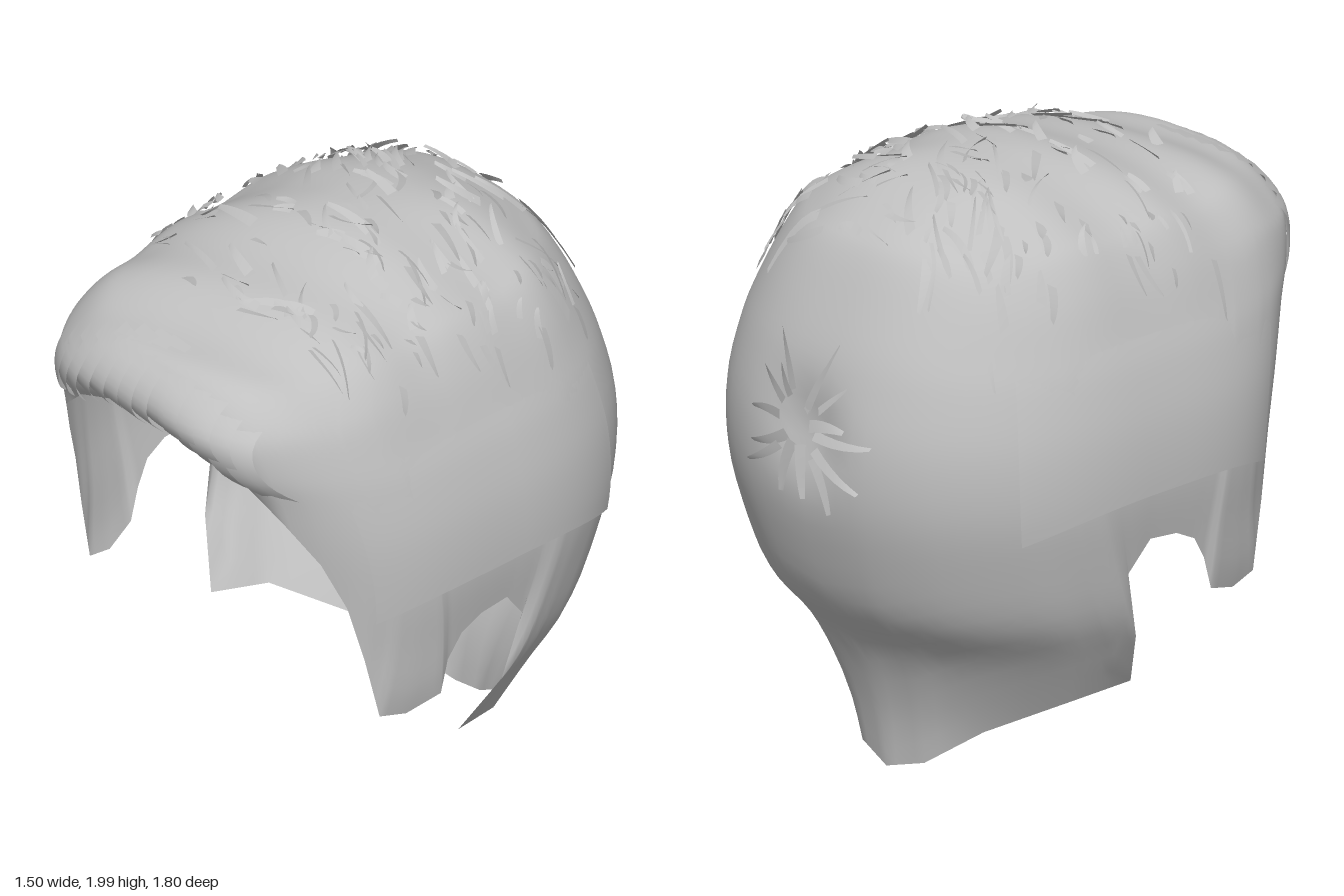
import * as THREE from 'three';
import { mergeVertices, mergeGeometries } from 'three/addons/utils/BufferGeometryUtils.js';

const { sin, cos, abs, sign, exp, min, max, PI } = Math;
const MID = -0.05; // z centre of the cross-sections

// Cross-sections from crown to nape: height, half width, front z, back z
const SECTIONS = [
  [1.95, 0, -0.05, -0.05], [1.942, 0.12, 0.06, -0.2], [1.905, 0.26, 0.22, -0.4],
  [1.85, 0.37, 0.45, -0.53], [1.79, 0.46, 0.7, -0.61], [1.735, 0.525, 0.83, -0.66],
  [1.63, 0.59, 0.885, -0.72], [1.5, 0.645, 0.86, -0.78], [1.38, 0.69, 0.8, -0.82],
  [1.2, 0.73, 0.74, -0.86], [1.0, 0.74, 0.7, -0.86], [0.8, 0.72, 0.7, -0.815],
  [0.6, 0.69, 0.75, -0.74], [0.43, 0.63, 0.78, -0.605], [0.2, 0.54, 0.8, -0.525], [0, 0.5, 0.8, -0.5],
];
// Hem of the left half, front to nape: x, y, z and the angle its strand leaves the crown
const HEM = [
  [0, 1.53, 0.8, 0], [0.2, 1.51, 0.79, 15], [0.36, 1.44, 0.76, 27], [0.48, 1.33, 0.71, 38],
  [0.56, 1.17, 0.62, 46], [0.605, 1.0, 0.55, 53], [0.63, 0.8, 0.5, 58], [0.645, 0.58, 0.45, 63],
  [0.66, 0.555, 0.35, 67], [0.69, 0.59, 0.23, 71], [0.69, 0.7, 0.2, 74], [0.7, 0.78, 0.15, 77],
  [0.705, 0.82, 0.07, 82], [0.705, 0.83, -0.04, 91], [0.69, 0.73, -0.12, 102], [0.66, 0.5, -0.06, 112],
  [0.55, 0.3, 0.02, 120], [0.5, 0.27, -0.18, 132], [0.3, 0.16, -0.37, 147], [0.14, 0.04, -0.47, 163],
  [0, 0, -0.5, 180],
];

let seed = 7;
const rnd = (a = 0, b = 1) => {
  seed = (seed * 16807) % 2147483647;
  return a + (b - a) * seed / 2147483647;
};
const clamp01 = (v) => max(0, min(1, v));

// Roundness: the front is boxy at the forehead and round at the crown
const power = (y, isFront) => (isFront ? 2.2 + 1.2 * clamp01((1.88 - y) / 0.25) : 2.5);

// Smoothly interpolated cross-section at s = 0 (crown) .. 15 (nape)
function section(s) {
  const last = SECTIONS.length - 1, i = min(Math.floor(s), last - 1), u = s - i;
  const at = (k) => SECTIONS[max(0, min(last, k))];
  return [0, 1, 2, 3].map((c) => {
    const [p, q, r, t] = [at(i - 1)[c], at(i)[c], at(i + 1)[c], at(i + 2)[c]];
    return q + 0.5 * u * (r - p + u * (2 * p - 5 * q + 4 * r - t + u * (3 * (q - r) + t - p)));
  });
}

function bisect(isAbove, hi = SECTIONS.length - 1) {
  let lo = 0;
  for (let k = 0; k < 30; k++) {
    const m = (lo + hi) / 2;
    if (isAbove(m)) lo = m; else hi = m;
  }
  return (lo + hi) / 2;
}
const levelOf = (y) => bisect((s) => section(s)[0] > y);
const depth = (z, f, b) => (z - MID) / (z > MID ? f - MID : MID - b);

// Point of the head of hair at an angle from the front
function skin(angle, s) {
  const [y, w, f, b] = section(s), c = cos(angle), e = 2 / power(y, c > 0);
  const x = w * sign(sin(angle)) * abs(sin(angle)) ** e;
  const z = MID + (c > 0 ? f - MID : MID - b) * sign(c) * abs(c) ** e;
  const p = new THREE.Vector3(x, y, z);
  // soft locks on top and a dimple at the back whorl
  p.y += 0.012 * clamp01((y - 1.5) / 0.2) * min(1, s / 4) * sin(z * 17 + x * 4);
  if (z < 0) p.z += 0.055 * exp(-(x * x + (y - 1.2) ** 2) / 0.016);
  return p;
}

// Surface mesh from a rule over a grid, columns running left to right and rows down
function grid(cols, rows, rule) {
  const pos = [], index = [];
  for (let i = 0; i <= cols; i++) for (let j = 0; j <= rows; j++) {
    pos.push(...rule(i / cols, j / rows).toArray());
    if (i < cols && j < rows) {
      const a = i * (rows + 1) + j, d = a + rows + 1;
      index.push(a, a + 1, d + 1, a, d + 1, d);
    }
  }
  let g = new THREE.BufferGeometry();
  g.setAttribute('position', new THREE.Float32BufferAttribute(pos, 3));
  g.setIndex(index);
  g = mergeVertices(g, 1e-4);
  g.computeVertexNormals();
  return g;
}

// One strand line from the crown to a place on the hem, h = 0 (front) .. 1 (nape)
function strandLine(h, mirror) {
  const k = h * (HEM.length - 1), i = min(Math.floor(k), HEM.length - 2);
  const [x, y, z, deg] = HEM[i].map((v, c) => v + (HEM[i + 1][c] - v) * (k - i));
  const s = levelOf(y), [, w, f, b] = section(s), d = depth(z, f, b), n = power(y, z > MID) / 2;
  const end = mirror * Math.atan2(min(1, x / w) ** n, sign(d) * min(1, abs(d)) ** n);
  const start = mirror * deg * PI / 180;
  const miss = new THREE.Vector3(mirror * x, y, z).sub(skin(end, s));
  return (t) => skin(start + (end - start) * t ** 3, s * t).addScaledVector(miss, t ** 6);
}

function hairCap() {
  const half = 80, lines = [];
  for (let i = -half; i <= half; i++) lines.push(strandLine(abs(i) / half, i < 0 ? -1 : 1));
  return grid(half * 2, 44, (u, v) => lines[Math.round(u * half * 2)](v));
}

// Surface lookups: from above, from behind and from the front
function above(x, z) {
  const s = bisect((m) => {
    const [y, w, f, b] = section(m), n = power(y, z > MID);
    return abs(x / max(w, 1e-6)) ** n + abs(depth(z, f, b)) ** n > 1;
  }, 11);
  return new THREE.Vector3(x, section(s)[0], z);
}
function facing(x, y, side) {
  const [, w, f, b] = section(levelOf(y)), n = power(y, side > 0);
  const r = max(0, 1 - abs(x / w) ** n) ** (1 / n);
  return new THREE.Vector3(x, y, MID + r * (side > 0 ? f - MID : b - MID));
}

// Thin tapering lock laid over a surface, bending and lifting towards its tip
function lock(place, up, a, b, angle, length, width, lift, bend) {
  return grid(1, 5, (u, v) => {
    const t = angle + bend * v, w = (u - 0.5) * width * (1 - 0.7 * v * v);
    const p = place(a + cos(t) * length * v - sin(t) * w, b + sin(t) * length * v + cos(t) * w);
    return p.addScaledVector(up, 0.006 + lift * v + 0.01 * u);
  });
}

function crownLocks() {
  const up = new THREE.Vector3(0, 1, 0), list = [];
  for (let i = 0; i < 190; i++) {
    const x = rnd(-0.59, 0.59), z = rnd(-0.66, 0.54) * (1 - 0.7 * x * x);
    const angle = (x < 0 && z < 0 ? 0.6 : z < -0.4 ? -0.5 : 0.1) + rnd(-0.35, 0.35) + (rnd() < 0.5 ? PI : 0);
    const room = abs(x) > 0.4 ? 0.5 : 1;
    list.push(lock(above, up, x, z, angle, rnd(0.06, 0.18) * room, rnd(0.012, 0.036), rnd(0, 0.028), rnd(-0.5, 0.5)));
  }
  return mergeGeometries(list);
}

function whorlLocks() {
  const back = new THREE.Vector3(0, 0, -1), list = [];
  for (let i = 0; i < 15; i++) {
    const t = i / 15 * 2 * PI + rnd(-0.25, 0.25), r = rnd(0.04, 0.12);
    list.push(lock((x, y) => facing(x, y, -1), back, r * cos(t), 1.22 + r * sin(t), t,
      rnd(0.1, 0.24), rnd(0.025, 0.04), rnd(-0.01, 0.025), rnd(-0.3, 0.3)));
  }
  return mergeGeometries(list);
}

// Rolled fringe of overlapping strips arching above the forehead
function fringeLocks() {
  const list = [], count = 14;
  for (let i = 0; i < count; i++) {
    const x0 = (i / (count - 1) - 0.5) * 0.78, lift = rnd(0, 0.01);
    const low = 1.54 - 0.85 * x0 * x0 + rnd(-0.015, 0.015), high = 1.79 - 0.85 * x0 * x0;
    const tuck = 0.045 * (1 - 5 * x0 * x0);
    list.push(grid(3, 10, (u, v) => {
      const x = x0 * (1 + 0.24 * v * v) + (u - 0.5) * 0.09;
      const p = facing(x, high + (low - high) * v, 1);
      p.z += -0.01 + 0.02 * sin(PI * v) - tuck * v ** 4 + lift + 0.012 * u;
      return p;
    }));
  }
  return mergeGeometries(list);
}

// Raised upper layer over the temple, ending above the ear
function sideLayer() {
  return grid(30, 14, (u, v) => {
    const a = (56 + 66 * u) * PI / 180;
    const low = 0.94 + 0.07 * sin(PI * u) - 0.03 * u;
    const p = skin(a, levelOf(1.5 + (low - 1.5) * v));
    const raise = -0.002 + 0.011 * v * (0.5 + 0.5 * sin(PI * u));
    return p.add(new THREE.Vector3(sin(a), 0, cos(a)).multiplyScalar(raise));
  });
}

export function createModel() {
  const group = new THREE.Group();
  const hair = new THREE.MeshStandardMaterial({ color: 0xc0c0c0, side: THREE.DoubleSide });
  hair.name = 'hair grey';
  const add = (name, geometry) => {
    const mesh = new THREE.Mesh(geometry, hair);
    mesh.name = name;
    group.add(mesh);
  };
  add('hairCap', hairCap());
  add('crownLocks', crownLocks());
  add('whorlLocks', whorlLocks());
  add('fringe', fringeLocks());
  const layer = sideLayer();
  add('leftSideLayer', layer);
  const mirrored = layer.clone().scale(-1, 1, 1);
  mirrored.setIndex([...mirrored.index.array].reverse());
  mirrored.computeVertexNormals();
  add('rightSideLayer', mirrored);
  return group;
}
